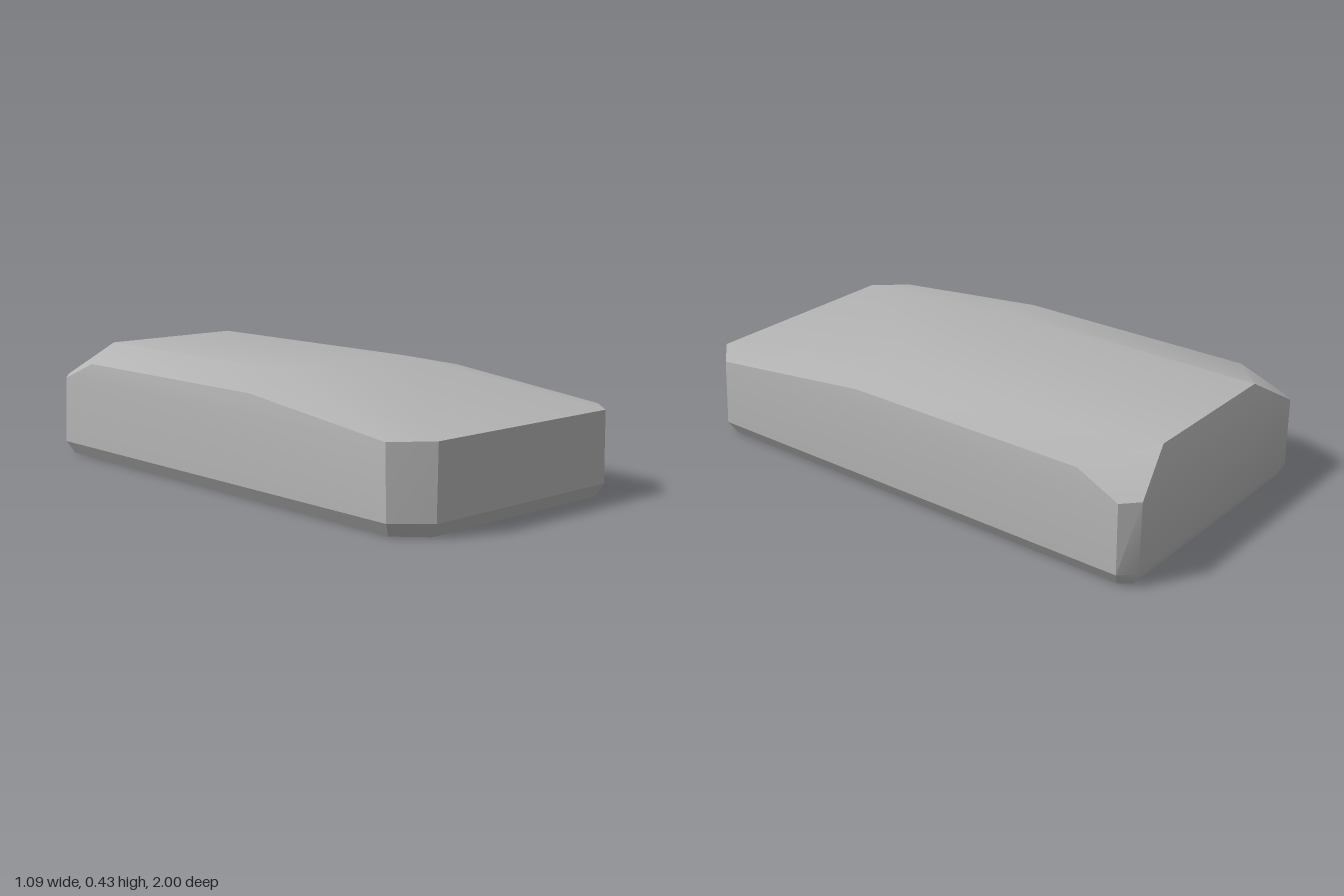
import * as THREE from 'three';
import { ConvexGeometry } from 'three/addons/geometries/ConvexGeometry.js';
import { toCreasedNormals } from 'three/addons/utils/BufferGeometryUtils.js';

export function createModel() {
  const model = new THREE.Group();
  const grey = new THREE.MeshStandardMaterial({ color: 0xb4b4b4 });
  grey.name = 'grey';

  // Corner points of the left half, mirrored to the right
  const half = [
    // underside, inset by the lower bevel
    [0.42, 0, 0.97], [0.515, 0, 0.87], [0.515, 0, -0.93], [0.48, 0, -0.975],
    // top of the lower bevel
    [0.43, 0.05, 1], [0.545, 0.05, 0.89], [0.545, 0.05, -0.945], [0.495, 0.05, -1],
    // shoulder of the walls
    [0.426, 0.315, 1], [0.541, 0.31, 0.88], [0.541, 0.31, -0.94], [0.49, 0.315, -1],
    // raised side edge
    [0.53, 0.382, 0.2], [0.53, 0.382, -0.77],
    // flat crown
    [0.3, 0.432, 0.13], [0.3, 0.432, -0.95],
  ];
  const points = [];
  for (const side of [1, -1])
    for (const [x, y, z] of half) points.push(new THREE.Vector3(side * x, y, z));

  // Soft shading across shallow bends, sharp at the bevels
  const body = new THREE.Mesh(toCreasedNormals(new ConvexGeometry(points), Math.PI / 6), grey);
  body.name = 'body';
  model.add(body);
  return model;
}
